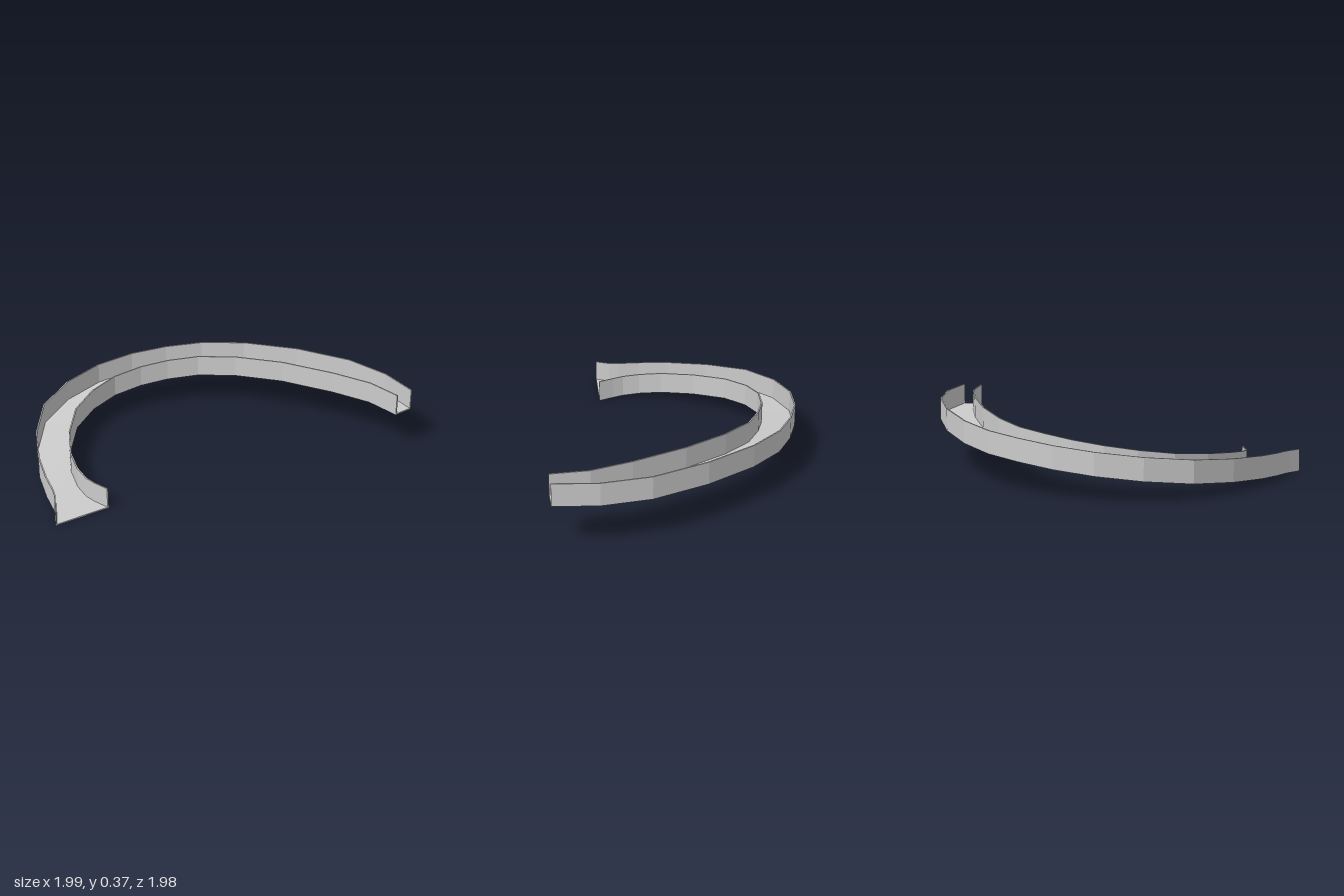
import * as THREE from 'three';

// Stations along the curve: outer x, outer z, inner x, inner z, underside height
const STATIONS = [
  [0.995, -0.795, 0.945, -0.685, 0.244], [0.775, -0.92, 0.74, -0.76, 0.24],
  [0.5, -0.995, 0.49, -0.78, 0.234], [0.145, -0.995, 0.145, -0.775, 0.224],
  [-0.2, -0.935, -0.155, -0.725, 0.209], [-0.455, -0.835, -0.375, -0.645, 0.193],
  [-0.64, -0.7, -0.53, -0.53, 0.178], [-0.8, -0.54, -0.65, -0.405, 0.16],
  [-0.925, -0.34, -0.745, -0.25, 0.139], [-0.995, -0.09, -0.79, -0.07, 0.114],
  [-0.985, 0.185, -0.78, 0.13, 0.087], [-0.865, 0.44, -0.69, 0.34, 0.06],
  [-0.705, 0.65, -0.565, 0.515, 0.037], [-0.565, 0.785, -0.46, 0.61, 0.02],
  [-0.465, 0.865, -0.37, 0.66, 0.009], [-0.42, 0.91, -0.305, 0.675, 0.004],
  [-0.37, 0.987, -0.21, 0.687, 0],
];
const WALL_HEIGHT = 0.13;
const THICKNESS = 0.008;

// U-shaped cross-section, running round from the outer bottom corner
function section([ox, oz, ix, iz, y]) {
  const outer = new THREE.Vector3(ox, y, oz);
  const inner = new THREE.Vector3(ix, y, iz);
  const t = THICKNESS / outer.distanceTo(inner);
  const at = (f, h) => outer.clone().lerp(inner, f).setY(y + h);
  return [
    at(0, 0), at(1, 0), at(1, WALL_HEIGHT), at(1 - t, WALL_HEIGHT),
    at(1 - t, THICKNESS), at(t, THICKNESS), at(t, WALL_HEIGHT), at(0, WALL_HEIGHT),
  ];
}

function channelGeometry() {
  const rings = STATIONS.map(section);
  const positions = [];
  const quad = (a, b, c, d) => {
    for (const p of [a, b, c, a, c, d]) positions.push(p.x, p.y, p.z);
  };

  // Floor and both walls, joined from station to station
  for (let i = 0; i < rings.length - 1; i++) {
    for (let k = 0; k < 8; k++) {
      const n = (k + 1) % 8;
      quad(rings[i][k], rings[i][n], rings[i + 1][n], rings[i + 1][k]);
    }
  }

  // Thin end faces
  const first = rings[0];
  const last = rings[rings.length - 1];
  for (const [a, b, c, d] of [[0, 1, 4, 5], [1, 2, 3, 4], [0, 5, 6, 7]]) {
    quad(last[a], last[b], last[c], last[d]);
    quad(first[d], first[c], first[b], first[a]);
  }

  const geometry = new THREE.BufferGeometry();
  geometry.setAttribute('position', new THREE.Float32BufferAttribute(positions, 3));
  geometry.computeVertexNormals();
  return geometry;
}

export function createModel() {
  const group = new THREE.Group();
  group.name = 'curvedRamp';
  const material = new THREE.MeshStandardMaterial({ color: 0xcccccc, flatShading: true });
  const channel = new THREE.Mesh(channelGeometry(), material);
  channel.name = 'rampChannel';
  group.add(channel);
  return group;
}
